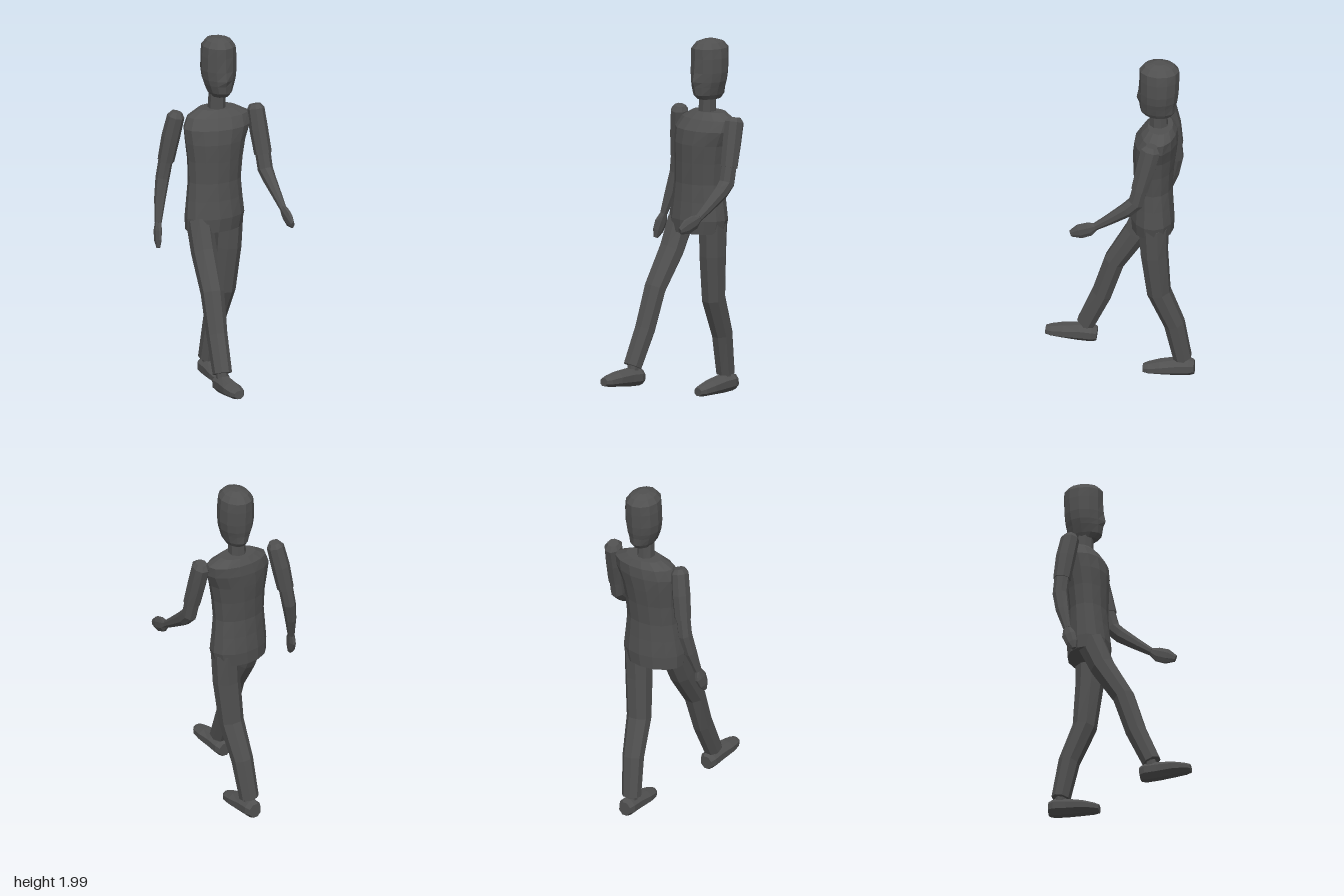
import * as THREE from 'three';

const grey = new THREE.MeshStandardMaterial({ color: 0x505050, flatShading: true });
grey.name = 'dark grey';

// Closed loft through sections [x, y, z, half width, half depth, yaw, front bulge].
// Rings stand square to the path, or to the given axis.
function loft(name, sections, sides = 8, axis = null, turn = 0.5) {
  const centres = sections.map(s => new THREE.Vector3(s[0], s[1], s[2]));
  const pos = [], index = [], last = sections.length - 1;
  sections.forEach(([, , , ru, rv, yaw = 0, bulge = 0], i) => {
    const t = axis ? axis.clone()
      : centres[Math.min(i + 1, last)].clone().sub(centres[Math.max(i - 1, 0)]).normalize();
    const u = new THREE.Vector3(1, 0, 0);
    u.addScaledVector(t, -u.dot(t)).normalize().applyAxisAngle(t, yaw);
    const v = t.clone().cross(u);
    for (let j = 0; j < sides; j++) {
      const a = (j + turn) / sides * Math.PI * 2;
      const front = Math.sin(a) < -0.99 ? bulge : 0;
      const p = centres[i].clone().addScaledVector(u, Math.cos(a) * ru)
        .addScaledVector(v, Math.sin(a) * (rv + front));
      pos.push(p.x, p.y, p.z);
    }
  });
  for (let i = 0; i < last; i++) {
    for (let j = 0; j < sides; j++) {
      const a = i * sides + j, b = i * sides + (j + 1) % sides;
      index.push(a, b, b + sides, a, b + sides, a + sides);
    }
  }
  // end caps
  for (const [i, flip] of [[0, true], [last, false]]) {
    const c = pos.length / 3;
    pos.push(...centres[i].toArray());
    for (let j = 0; j < sides; j++) {
      const a = i * sides + j, b = i * sides + (j + 1) % sides;
      index.push(c, flip ? b : a, flip ? a : b);
    }
  }
  const geometry = new THREE.BufferGeometry();
  geometry.setAttribute('position', new THREE.Float32BufferAttribute(pos, 3));
  geometry.setIndex(index);
  geometry.computeVertexNormals();
  const mesh = new THREE.Mesh(geometry, grey);
  mesh.name = name;
  return mesh;
}

function limb(name, ...parts) {
  const group = new THREE.Group();
  group.name = name;
  group.add(...parts);
  return group;
}

// Shoe pointing along +z, from its heel position and sole height
function shoe(x, y, z, pitch, yaw) {
  const mesh = loft('shoe', [
    [0, 0.05, 0, 0.038, 0.042],
    [0, 0.053, 0.03, 0.052, 0.052],
    [0, 0.05, 0.1, 0.052, 0.052],
    [0, 0.043, 0.19, 0.056, 0.042],
    [0, 0.034, 0.255, 0.046, 0.032],
    [0, 0.03, 0.285, 0.028, 0.024],
  ], 8, new THREE.Vector3(0, 0, 1));
  mesh.position.set(x, y, z);
  mesh.rotation.set(pitch, yaw, 0);
  return mesh;
}

export function createModel() {
  const model = new THREE.Group();
  model.name = 'walkingFigure';
  const up = new THREE.Vector3(0, 1, 0);

  // Head with a slight nose, and neck
  model.add(loft('head', [
    [0.055, 1.67, -0.225, 0.052, 0.075],
    [0.055, 1.695, -0.222, 0.066, 0.098],
    [0.053, 1.74, -0.222, 0.082, 0.102, 0, 0.004],
    [0.053, 1.77, -0.225, 0.092, 0.106, 0, 0.016],
    [0.053, 1.82, -0.228, 0.099, 0.109, 0, 0.006],
    [0.054, 1.9, -0.23, 0.098, 0.111],
    [0.054, 1.955, -0.23, 0.092, 0.111],
    [0.054, 1.985, -0.23, 0.068, 0.085],
    [0.054, 2.0, -0.23, 0.03, 0.035],
  ], 12, up, 0));
  model.add(loft('neck', [
    [0.04, 1.57, -0.225, 0.05, 0.053],
    [0.043, 1.69, -0.222, 0.046, 0.05],
  ], 8, up));

  // Torso, with the hips turned against the shoulders
  model.add(loft('torso', [
    [0.005, 0.925, -0.185, 0.17, 0.118, 0.2],
    [0.012, 1.0, -0.185, 0.18, 0.123, 0.2],
    [0.012, 1.1, -0.188, 0.168, 0.114, 0.17],
    [0.013, 1.2, -0.19, 0.157, 0.108, 0.13],
    [0.018, 1.32, -0.194, 0.163, 0.114, 0.1],
    [0.022, 1.42, -0.2, 0.177, 0.122, 0.07],
    [0.035, 1.5, -0.21, 0.197, 0.12, 0.05],
    [0.048, 1.56, -0.228, 0.182, 0.098, 0.05],
    [0.045, 1.598, -0.235, 0.11, 0.07, 0.05],
  ], 14, up, 0));

  // Left arm swings forward, right arm hangs slightly back
  model.add(limb('leftArm',
    loft('sleeve', [
      [0.268, 1.59, -0.222, 0.032, 0.034],
      [0.27, 1.565, -0.217, 0.048, 0.058],
      [0.278, 1.45, -0.19, 0.051, 0.056],
      [0.29, 1.32, -0.158, 0.049, 0.05],
    ]),
    loft('forearm', [
      [0.289, 1.34, -0.163, 0.043, 0.044],
      [0.295, 1.235, -0.137, 0.042, 0.046],
      [0.301, 1.19, -0.09, 0.036, 0.043],
      [0.307, 1.12, 0.01, 0.026, 0.031],
      [0.31, 1.07, 0.085, 0.019, 0.022],
    ]),
    loft('hand', [
      [0.31, 1.07, 0.085, 0.018, 0.022],
      [0.31, 1.05, 0.12, 0.021, 0.042],
      [0.31, 1.03, 0.175, 0.02, 0.044],
      [0.31, 1.012, 0.224, 0.011, 0.02],
    ])));
  model.add(limb('rightArm',
    loft('sleeve', [
      [-0.192, 1.595, -0.232, 0.03, 0.032],
      [-0.198, 1.57, -0.234, 0.048, 0.052],
      [-0.22, 1.45, -0.253, 0.051, 0.055],
      [-0.243, 1.31, -0.268, 0.046, 0.049],
    ]),
    loft('forearm', [
      [-0.242, 1.33, -0.266, 0.04, 0.043],
      [-0.262, 1.21, -0.272, 0.038, 0.043],
      [-0.285, 1.1, -0.252, 0.031, 0.038],
      [-0.309, 0.975, -0.218, 0.019, 0.023],
    ]),
    loft('hand', [
      [-0.309, 0.975, -0.218, 0.018, 0.022],
      [-0.317, 0.93, -0.206, 0.02, 0.042],
      [-0.323, 0.88, -0.188, 0.018, 0.036],
      [-0.326, 0.842, -0.174, 0.01, 0.014],
    ])));

  // Right leg steps forward, left leg trails
  model.add(limb('rightLeg',
    loft('trouserLeg', [
      [-0.093, 0.98, -0.15, 0.072, 0.08],
      [-0.093, 0.82, -0.08, 0.072, 0.072],
      [-0.093, 0.62, 0.043, 0.066, 0.062],
      [-0.096, 0.4, 0.115, 0.058, 0.06],
      [-0.1, 0.2, 0.205, 0.054, 0.054],
    ]),
    loft('ankle', [[-0.1, 0.24, 0.19, 0.034, 0.034], [-0.1, 0.14, 0.21, 0.034, 0.034]]),
    shoe(-0.1, 0.083, 0.147, -0.09, 0.03)));
  model.add(limb('leftLeg',
    loft('trouserLeg', [
      [0.108, 0.98, -0.205, 0.076, 0.085],
      [0.1, 0.8, -0.21, 0.077, 0.078],
      [0.083, 0.55, -0.232, 0.07, 0.068],
      [0.062, 0.34, -0.315, 0.061, 0.06],
      [0.043, 0.115, -0.357, 0.055, 0.053],
    ]),
    loft('ankle', [[0.045, 0.16, -0.35, 0.034, 0.034], [0.044, 0.06, -0.36, 0.034, 0.034]]),
    shoe(0.042, 0.008, -0.424, 0.02, 0.05)));

  return model;
}
